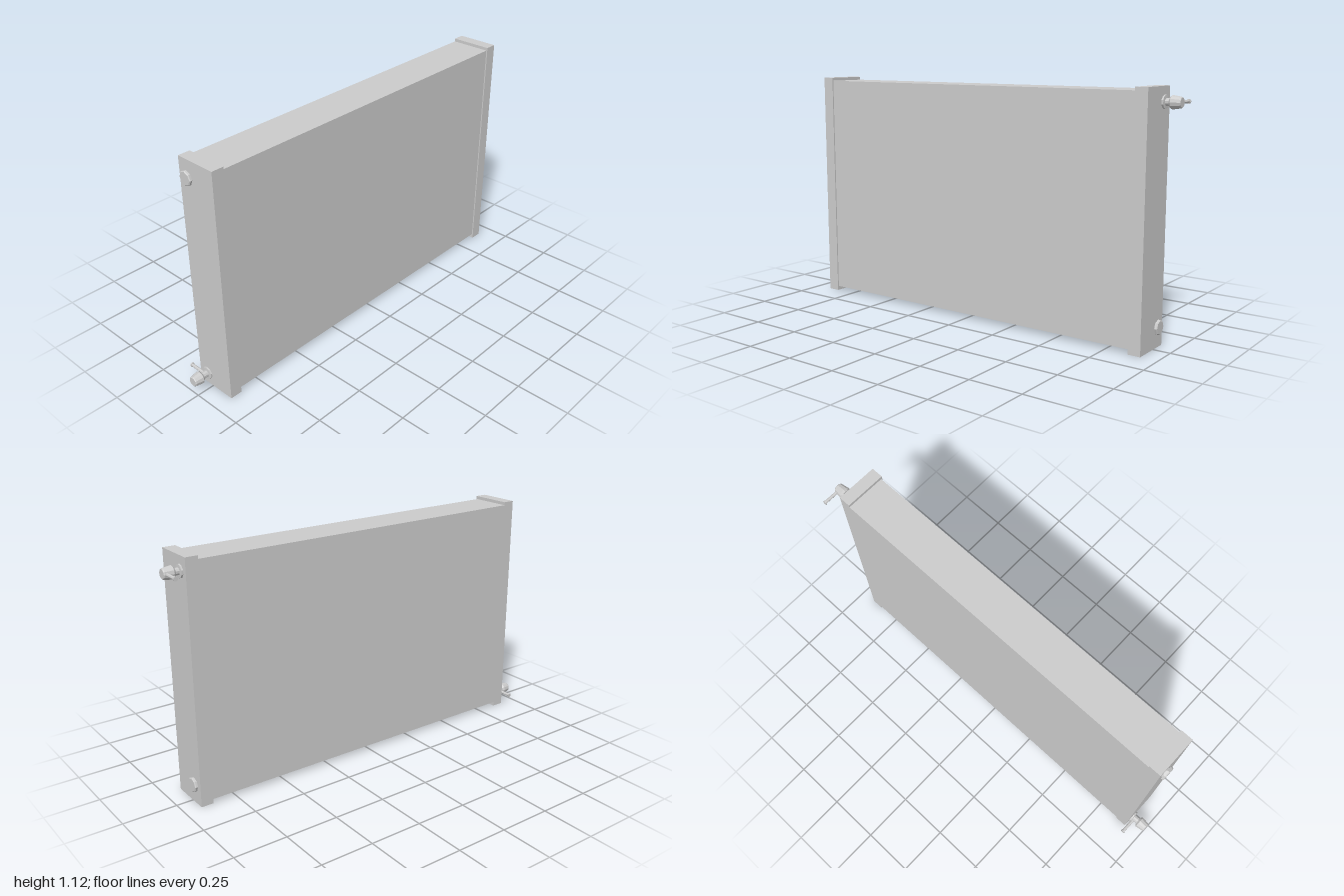
import * as THREE from 'three';

export function createModel() {
  const group = new THREE.Group();
  const mat = new THREE.MeshStandardMaterial({ color: 0xcccccc, flatShading: true });

  function add(name, geometry, x, y, z, parent = group) {
    const mesh = new THREE.Mesh(geometry, mat);
    mesh.name = name;
    mesh.position.set(x, y, z);
    parent.add(mesh);
    return mesh;
  }

  // Turned part along +z from [radius, z] pairs
  const turned = (points, sides = 10) =>
    new THREE.LatheGeometry(points.map(([r, z]) => new THREE.Vector2(r, z)), sides).rotateX(Math.PI / 2);

  // Core panel and the slightly taller end caps
  add('radiatorPanel', new THREE.BoxGeometry(0.196, 1.086, 1.74), 0.018, 0.566, -0.003);
  for (const [name, z] of [['frontCap', 0.885], ['backCap', -0.891]]) {
    add(name, new THREE.BoxGeometry(0.202, 1.122, 0.058), 0.021, 0.563, z);
  }

  // Blanking plugs, each with a recessed neck under the head
  const plug = turned([[0, 0], [0.026, 0], [0.026, 0.005], [0.034, 0.005], [0.034, 0.013], [0.03, 0.017], [0, 0.017]], 8);
  add('frontPlug', plug, -0.03, 1.045, 0.914);
  add('backPlug', plug, -0.03, 0.095, -0.919).rotation.y = Math.PI;

  // Valves: neck, tapered head and a side pipe with a flared end
  function valve(name, y, z, dir, neckEnd, pipeZ) {
    const g = new THREE.Group();
    g.name = name;
    g.position.set(-0.03, y, z);
    const end = 1 - Math.abs(z);
    const turn = dir > 0 ? 0 : Math.PI;
    add('valveNeck', turned([[0, 0], [0.03, 0], [0.03, 0.008], [0.016, 0.009], [0.016, neckEnd + 0.004], [0, neckEnd + 0.004]]), 0, 0, 0, g).rotation.y = turn;
    add('valveHead', turned([[0, neckEnd], [0.022, neckEnd], [0.03, neckEnd + 0.009],
      [0.024, end - 0.004], [0.021, end], [0, end]], 12), 0, 0, 0, g).rotation.y = turn;
    const pipe = (r, x0, x1) => add('sidePipe',
      new THREE.CylinderGeometry(r, r, x1 - x0, 8).rotateZ(Math.PI / 2), (x0 + x1) / 2, 0, pipeZ * dir, g);
    pipe(0.0075, -0.093, 0);
    pipe(0.0105, -0.096, -0.09);
    group.add(g);
  }
  valve('frontValve', 0.06, 0.914, 1, 0.036, 0.014);
  valve('backValve', 1.058, -0.92, -1, 0.028, 0.066);

  return group;
}
